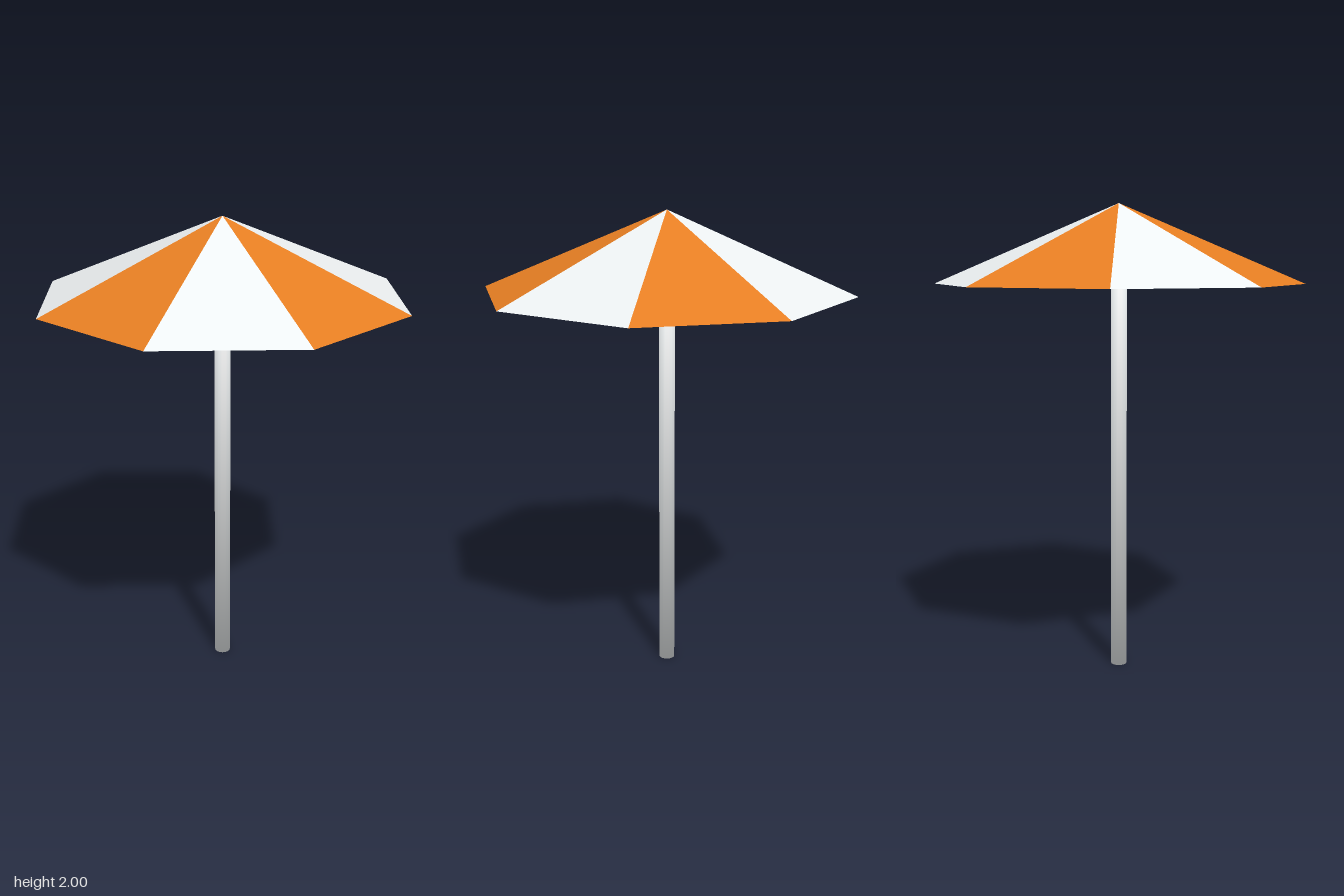
import * as THREE from 'three';

const ORANGE = 0xe67e22;
const WHITE = 0xecf0f1;

// One flat triangular canopy panel between two rim angles
function makePanel(a0, a1, apexY, rimY, radius, material) {
  const rim = (a) => [radius * Math.cos(a), rimY, radius * Math.sin(a)];
  const geometry = new THREE.BufferGeometry();
  geometry.setAttribute('position', new THREE.Float32BufferAttribute(
    [0, apexY, 0, ...rim(a1), ...rim(a0)], 3));
  geometry.computeVertexNormals();
  return new THREE.Mesh(geometry, material);
}

// Pole whose shading blends softly from the sides into the end caps
function makePole(radius, height, sides, material) {
  const geometry = new THREE.CylinderGeometry(radius, radius, height, sides);
  const { position, normal } = geometry.attributes;
  const n = new THREE.Vector3();
  for (let i = 0; i < position.count; i++) {
    n.fromBufferAttribute(position, i);
    n.set(n.x / radius, Math.sign(n.y), n.z / radius).normalize();
    normal.setXYZ(i, n.x, n.y, n.z);
  }
  geometry.translate(0, height / 2, 0);
  return new THREE.Mesh(geometry, material);
}

export function createModel() {
  const model = new THREE.Group();
  model.name = 'parasol';

  // Pole, ending inside the canopy just short of the apex
  const pole = makePole(0.034, 1.8, 16, new THREE.MeshStandardMaterial({ color: WHITE }));
  pole.name = 'pole';
  model.add(pole);

  // Eight-sided open canopy with alternating panels
  const canopy = new THREE.Group();
  canopy.name = 'canopy';
  const materials = [ORANGE, WHITE].map((color) =>
    new THREE.MeshStandardMaterial({ color, flatShading: true, side: THREE.DoubleSide }));
  const step = Math.PI / 4;
  for (let i = 0; i < 8; i++) {
    const panel = makePanel(i * step, (i + 1) * step, 2, 1.667, 0.782, materials[i % 2]);
    panel.name = i % 2 ? 'whitePanel' : 'orangePanel';
    canopy.add(panel);
  }
  model.add(canopy);

  return model;
}
